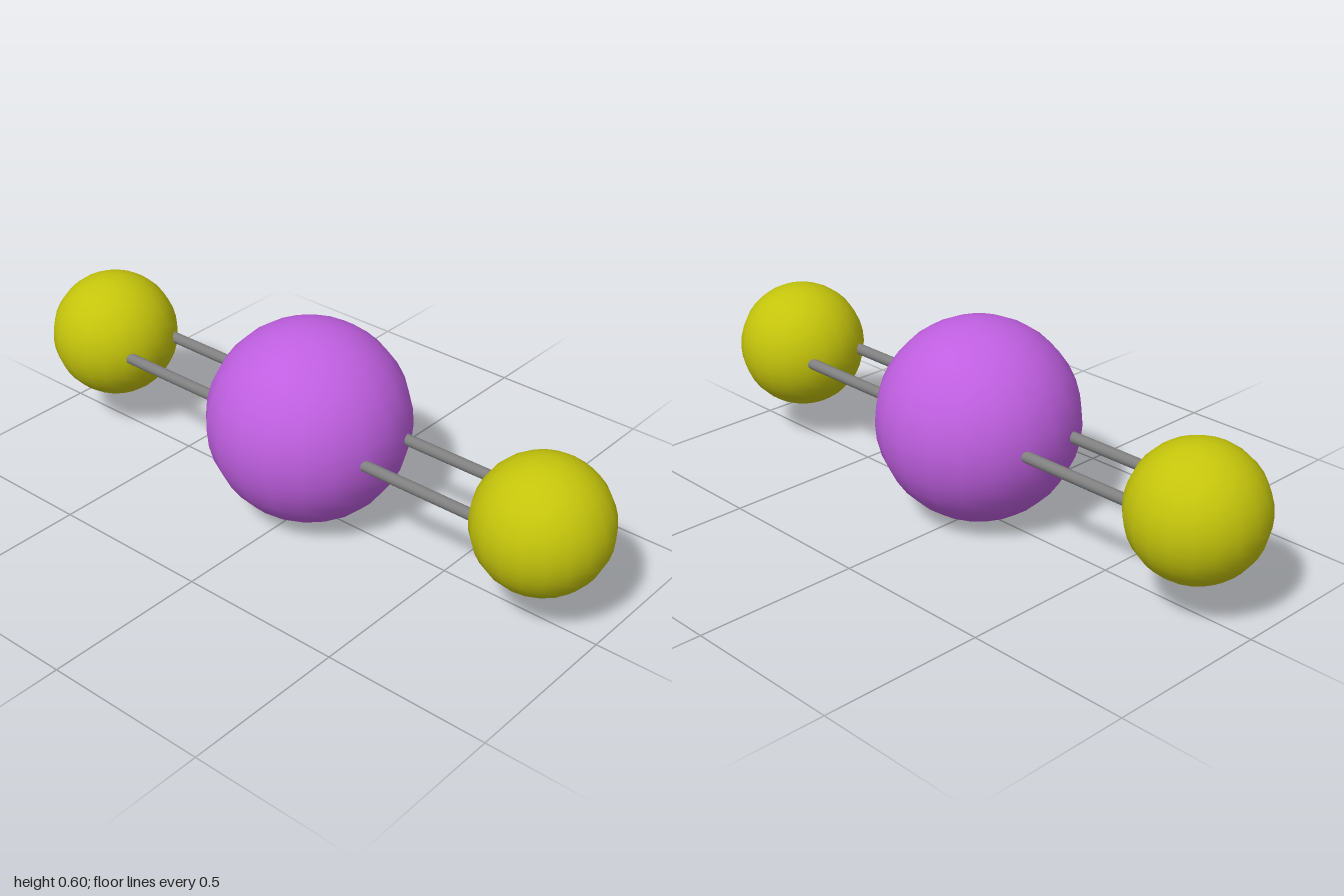
import * as THREE from 'three';

export function createModel() {
  const model = new THREE.Group();
  model.name = 'moleculeModel';

  const purple = new THREE.MeshStandardMaterial({ color: 0xbf5fe0 });
  const yellow = new THREE.MeshStandardMaterial({ color: 0xc4c40c });
  const grey = new THREE.MeshStandardMaterial({ color: 0x808080 });
  const midY = 0.301;
  const outerX = 0.805;

  function addBall(name, radius, x, material) {
    const ball = new THREE.Mesh(new THREE.SphereGeometry(radius, 20, 18), material);
    ball.name = name;
    ball.position.set(x, midY, 0);
    model.add(ball);
  }

  // Central atom and its two outer neighbours
  addBall('centralAtom', 0.3, 0, purple);
  addBall('leftAtom', 0.195, outerX, yellow);
  addBall('rightAtom', 0.195, -outerX, yellow);

  // Double bonds: a pair of parallel rods on each side, ends buried in the balls
  const rodGeometry = new THREE.CylinderGeometry(0.017, 0.017, outerX, 12);
  rodGeometry.rotateZ(Math.PI / 2);
  for (const side of [1, -1]) {
    const bond = new THREE.Group();
    bond.name = side > 0 ? 'leftDoubleBond' : 'rightDoubleBond';
    for (const z of [-0.092, 0.092]) {
      const rod = new THREE.Mesh(rodGeometry, grey);
      rod.name = z > 0 ? 'frontBondRod' : 'backBondRod';
      rod.position.set(side * outerX / 2, midY + 0.002, z);
      bond.add(rod);
    }
    model.add(bond);
  }

  return model;
}
